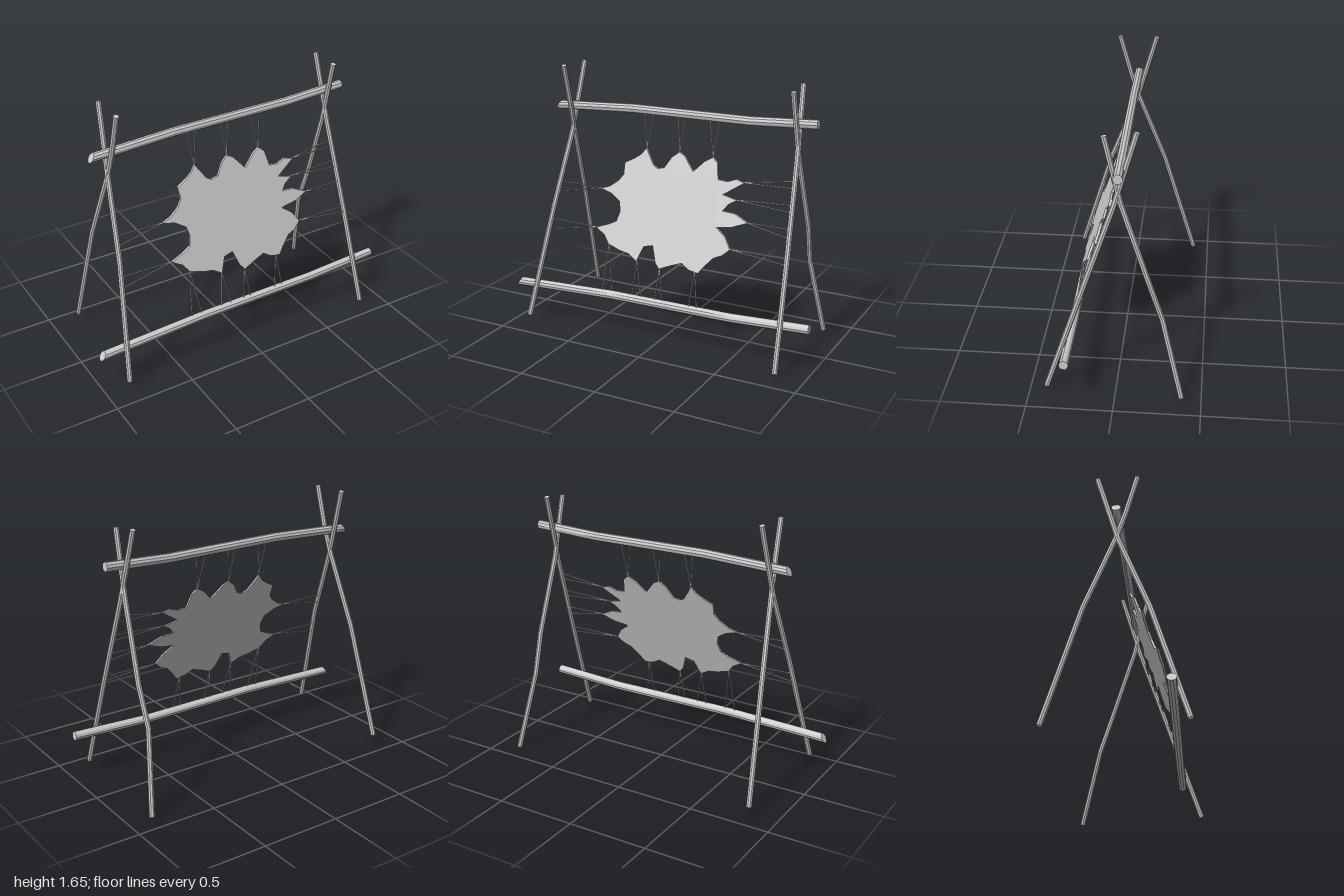
import * as THREE from 'three';

const UP = new THREE.Vector3(0, 1, 0);
const material = new THREE.MeshStandardMaterial({ color: 0xcccccc, flatShading: true });

// Bent rod through a few points; skew slants the cut at its first end
function rod(name, coords, radius, sides, skew = 0) {
  const pts = coords.map(c => new THREE.Vector3(...c));
  const last = pts.length - 1;
  const geo = new THREE.CylinderGeometry(radius, radius, 1, sides, last);
  const turns = pts.map((p, i) => new THREE.Quaternion().setFromUnitVectors(UP,
    pts[Math.min(i + 1, last)].clone().sub(pts[Math.max(i - 1, 0)]).normalize()));
  const pos = geo.attributes.position;
  const v = new THREE.Vector3();
  for (let k = 0; k < pos.count; k++) {
    v.fromBufferAttribute(pos, k);
    const i = Math.round((v.y + 0.5) * last);
    v.setY(0).applyQuaternion(turns[i]);
    if (i === 0) v.x += skew * v.y;
    v.add(pts[i]);
    pos.setXYZ(k, v.x, v.y, v.z);
  }
  geo.computeVertexNormals();
  const mesh = new THREE.Mesh(geo, material);
  mesh.name = name;
  return mesh;
}

// Leaning plane in which the hide is stretched
const leanZ = y => 0.26 - 0.36 * (y - 0.5);

// Hide outline, clockwise from the first top point
const OUTLINE = [
  [-0.195, 1.17], [-0.17, 1.13], [-0.13, 1.075], [-0.10, 1.06], [-0.055, 1.07], [-0.015, 1.135],
  [0.03, 1.17], [0.07, 1.15], [0.14, 1.07], [0.205, 1.135], [0.255, 1.165], [0.29, 1.135],
  [0.31, 1.045], [0.37, 1.04], [0.425, 1.06], [0.48, 1.045], [0.425, 1.01], [0.355, 0.965],
  [0.45, 0.945], [0.40, 0.915], [0.37, 0.875], [0.45, 0.87], [0.54, 0.83], [0.445, 0.795],
  [0.345, 0.78], [0.41, 0.735], [0.455, 0.67], [0.41, 0.63], [0.36, 0.61], [0.305, 0.55],
  [0.275, 0.51], [0.21, 0.52], [0.16, 0.55], [0.09, 0.525], [0.015, 0.495], [-0.015, 0.525],
  [-0.05, 0.62], [-0.11, 0.605], [-0.145, 0.515], [-0.205, 0.55], [-0.27, 0.56], [-0.355, 0.585],
  [-0.395, 0.635], [-0.46, 0.67], [-0.375, 0.70], [-0.325, 0.725], [-0.31, 0.785], [-0.325, 0.84],
  [-0.39, 0.88], [-0.47, 0.90], [-0.41, 0.92], [-0.355, 0.96], [-0.325, 1.0], [-0.33, 1.07],
  [-0.27, 1.10], [-0.225, 1.13],
];

function hide() {
  const shape = new THREE.Shape(OUTLINE.map(p => new THREE.Vector2(...p)));
  const geo = new THREE.ExtrudeGeometry(shape, { depth: 0.014, bevelEnabled: false });
  const pos = geo.attributes.position;
  for (let k = 0; k < pos.count; k++) {
    pos.setZ(k, pos.getZ(k) - 0.007 + leanZ(pos.getY(k)));
  }
  geo.computeVertexNormals();
  const mesh = new THREE.Mesh(geo, material);
  mesh.name = 'stretchedHide';
  return mesh;
}

export function createModel() {
  const group = new THREE.Group();
  group.name = 'hideDryingRack';

  // Crossed legs, bottom to top
  const legs = {
    leftFrontLeg: [[0.835, 0.04, 0.4], [0.81, 0.64, 0.2], [0.78, 1.2, 0.01], [0.757, 1.63, -0.115]],
    rightFrontLeg: [[-0.86, 0.07, 0.39], [-0.785, 0.76, 0.18], [-0.745, 1.22, 0], [-0.72, 1.65, -0.125]],
    leftBackLeg: [[0.85, 0.01, -0.385], [0.785, 0.5, -0.265], [0.795, 0.75, -0.185],
      [0.775, 1.22, -0.03], [0.765, 1.61, 0.06]],
    rightBackLeg: [[-0.83, 0.065, -0.4], [-0.785, 0.77, -0.19], [-0.74, 1.24, -0.01],
      [-0.73, 1.4, 0.04], [-0.725, 1.65, 0.11]],
  };
  for (const [name, pts] of Object.entries(legs)) group.add(rod(name, pts, 0.017, 8));

  // Crossbars
  group.add(rod('topBar', [[-0.84, 1.375, -0.005], [-0.3, 1.4, -0.01], [0.47, 1.4, -0.018],
    [0.89, 1.42, -0.025]], 0.028, 10, 0.6));
  group.add(rod('bottomBar', [[-0.985, 0.25, 0.3], [-0.3, 0.275, 0.29], [0.5, 0.275, 0.28],
    [0.99, 0.298, 0.275]], 0.028, 10, 0.6));

  // Cords: a hide point, then the two ends tied to the frame
  const cords = new THREE.Group();
  cords.name = 'cords';
  const tie = (x, y, ends, z) => ends.forEach(([ex, ey]) => cords.add(
    rod('cord', [[x, y, leanZ(y)], [ex, ey, z ?? leanZ(ey)]], 0.004, 5)));
  for (const [x, y, a, b] of [[-0.195, 1.165, -0.225, -0.165], [0.03, 1.165, 0.005, 0.055],
    [0.255, 1.16, 0.215, 0.28]]) tie(x, y, [[a, 1.385], [b, 1.385]], -0.013);
  for (const [x, y, a, b] of [[-0.355, 0.59, -0.375, -0.305], [-0.145, 0.52, -0.165, -0.1],
    [0.015, 0.5, -0.005, 0.045], [0.25, 0.52, 0.225, 0.28]]) tie(x, y, [[a, 0.29], [b, 0.29]], 0.288);
  for (const [x, y, ex, a, b] of [[-0.46, 0.9, -0.775, 0.905, 0.845], [-0.45, 0.67, -0.78, 0.675, 0.615],
    [0.47, 1.045, 0.785, 1.09, 1.05], [0.44, 0.945, 0.79, 0.96, 0.92],
    [0.53, 0.83, 0.795, 0.83, 0.78], [0.445, 0.67, 0.81, 0.67, 0.635]]) tie(x, y, [[ex, a], [ex, b]]);

  group.add(cords, hide());
  return group;
}
